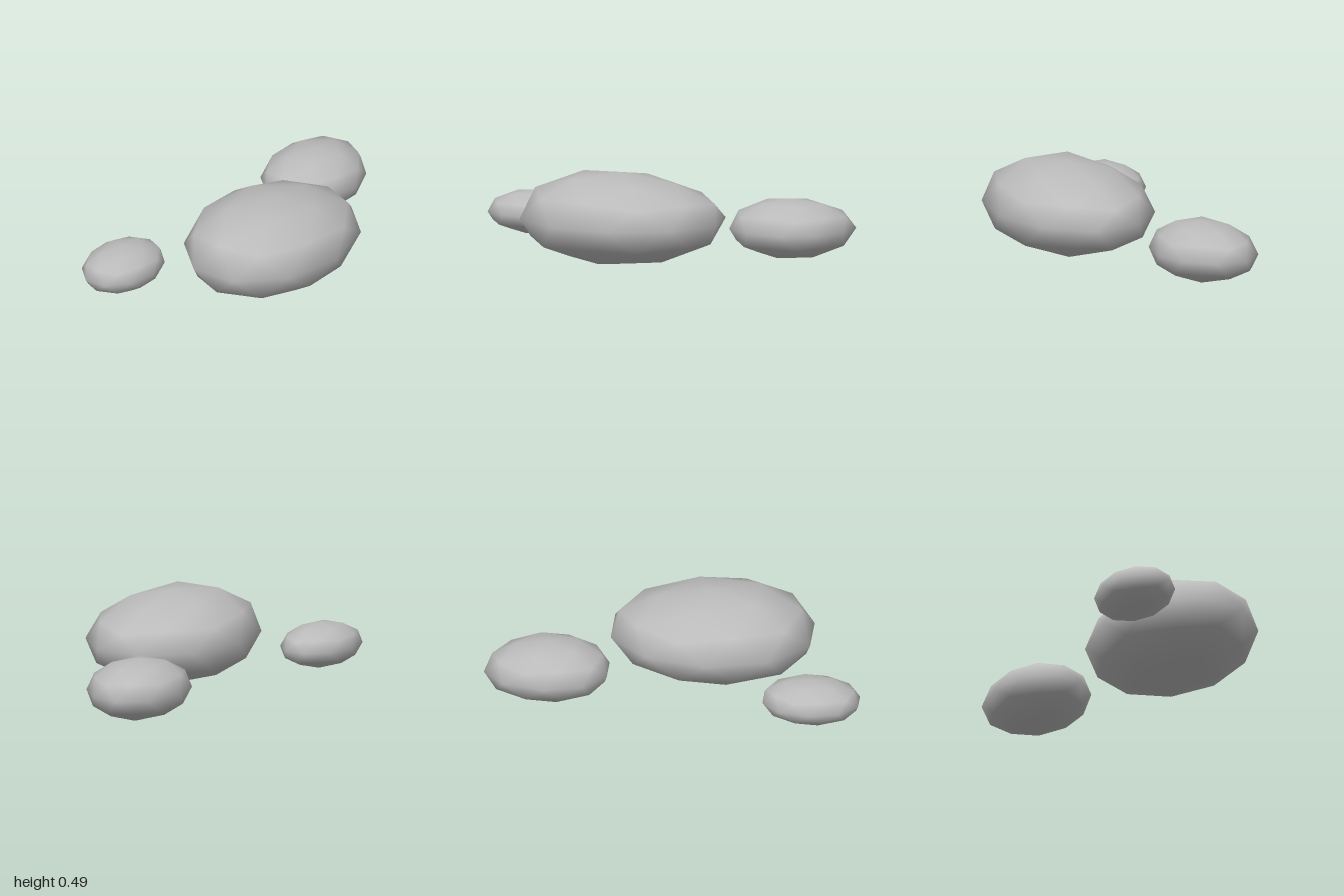
import * as THREE from 'three';
import { mergeVertices } from 'three/addons/utils/BufferGeometryUtils.js';

// Flattened low-poly pebble: a pole-up icosphere with a slight uneven taper.
function pebble(radii, { taper = 0, skew = 0 } = {}) {
  let geo = new THREE.IcosahedronGeometry(1, 1);
  geo.rotateZ(-Math.atan(2 / (1 + Math.sqrt(5)))); // bring a vertex to the top
  geo.deleteAttribute('normal');
  geo.deleteAttribute('uv');
  geo = mergeVertices(geo, 1e-3);
  const p = geo.attributes.position;
  for (let i = 0; i < p.count; i++) {
    const x = p.getX(i), y = p.getY(i), z = p.getZ(i);
    const k = y > 0 ? taper : taper * 0.3; // the top tapers more than the base
    p.setXYZ(i,
      x * radii[0] - skew * Math.max(x, 0) * z,
      y * radii[1] * (1 - k * x),
      z * radii[2]);
  }
  geo.computeVertexNormals();
  return geo;
}

export function createModel() {
  const group = new THREE.Group();
  const stone = new THREE.MeshStandardMaterial({ color: 0xbbbbbb });
  stone.name = 'stoneGrey';

  const stones = [
    { name: 'largeStone', at: [-0.167, 0.252, 0.162], radii: [0.558, 0.247, 0.423], shape: { taper: 0.17 } },
    { name: 'mediumStone', at: [0.676, 0.166, -0.174], radii: [0.335, 0.161, 0.265], shape: { taper: 0.03, skew: 0.06 } },
    { name: 'smallStone', at: [-0.745, 0.16, -0.395], radii: [0.268, 0.118, 0.195] },
  ];
  for (const s of stones) {
    const mesh = new THREE.Mesh(pebble(s.radii, s.shape), stone);
    mesh.name = s.name;
    mesh.position.set(...s.at);
    group.add(mesh);
  }
  return group;
}
